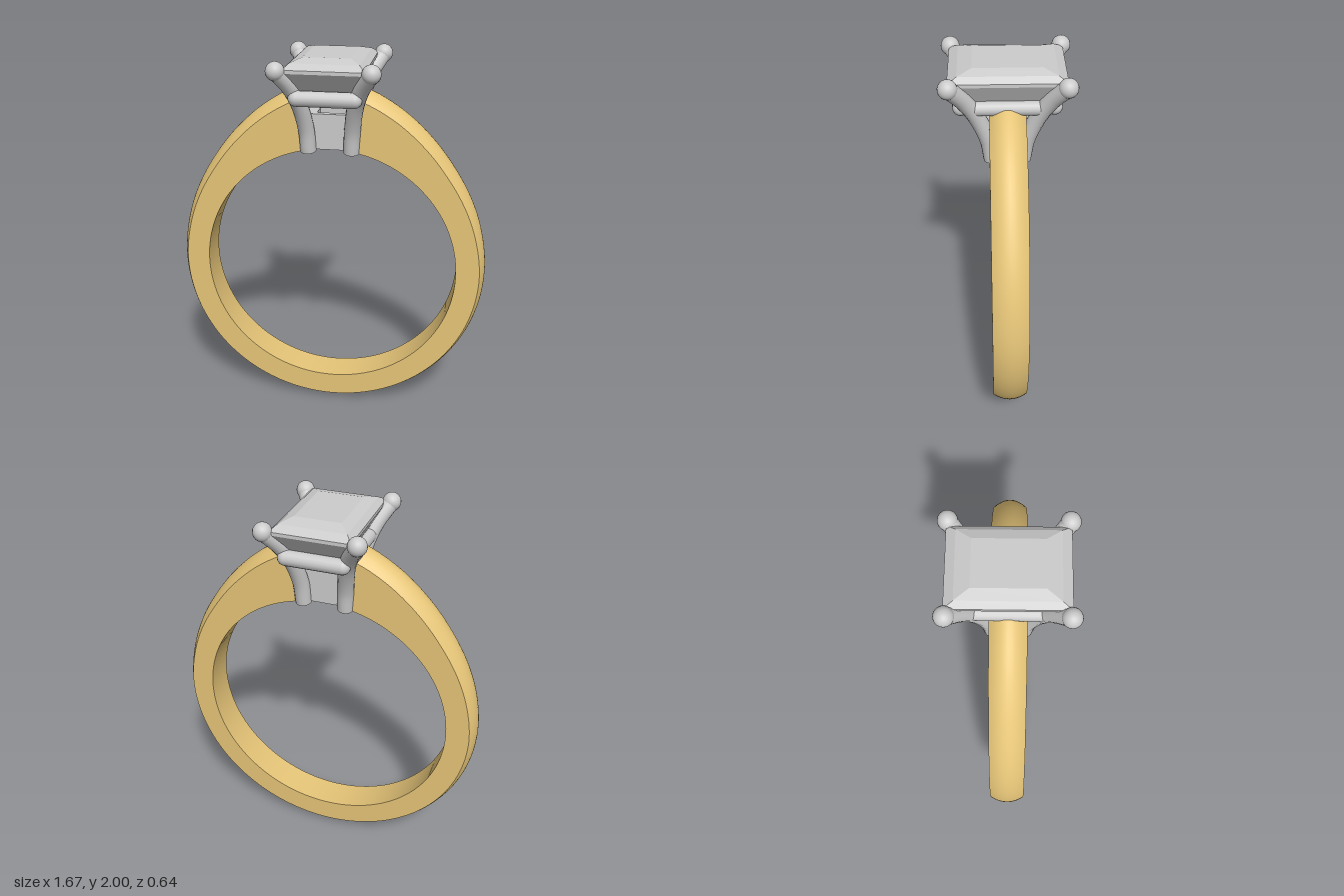
import * as THREE from 'three';
import { toCreasedNormals } from 'three/addons/utils/BufferGeometryUtils.js';

const gold = new THREE.MeshStandardMaterial({ color: 0xe6c578 });
const silver = new THREE.MeshStandardMaterial({ color: 0xcccccc });
const stone = new THREE.MeshStandardMaterial({ color: 0xcccccc, flatShading: true });

function add(parent, name, geometry, material) {
  const mesh = new THREE.Mesh(geometry, material);
  mesh.name = name;
  parent.add(mesh);
  return mesh;
}

// Skin a list of closed rings (each an array of [x, y, z]) and cap both ends
function loft(rings, crease) {
  const n = rings[0].length, last = (rings.length - 1) * n, index = [];
  for (let i = 0; i < rings.length - 1; i++) {
    for (let j = 0; j < n; j++) {
      const k = (j + 1) % n;
      const a = i * n + j, b = a + n, c = i * n + k, d = c + n;
      index.push(a, c, b, b, c, d);
    }
  }
  for (let j = 1; j < n - 1; j++) {
    index.push(0, j + 1, j, last, last + j, last + j + 1);
  }
  const g = new THREE.BufferGeometry();
  g.setAttribute('position', new THREE.Float32BufferAttribute(rings.flat(2), 3));
  g.setIndex(index);
  return toCreasedNormals(g, crease);
}

// Band: round bore, domed outside, shoulders rising to the setting
function shankGeometry() {
  const centreY = 0.84, bore = 0.68, half = 0.088, endX = 0.13;
  const endAngle = (r) => Math.PI - Math.asin(endX / r);
  // crown radius against angle from the bottom, in degrees
  const crown = new THREE.SplineCurve([
    [-30, 0.835], [0, 0.835], [45, 0.834], [90, 0.833], [110, 0.839], [130, 0.863],
    [145, 0.904], [158, 0.953], [166.5, 0.987], [172.6, 1.009], [180, 1.03],
  ].map(([a, r]) => new THREE.Vector2(a, r)));
  const table = crown.getPoints(600);
  const crownAt = (phi) => {
    const a = Math.abs(phi) * 180 / Math.PI;
    const k = Math.max(1, table.findIndex((p) => p.x >= a));
    const p = table[k - 1], q = table[k];
    return p.y + (q.y - p.y) * (a - p.x) / (q.x - p.x);
  };
  const rings = [], steps = 160, dome = 10;
  for (let i = 0; i <= steps; i++) {
    const t = i / steps * 2 - 1;
    const ring = [];
    const put = (radiusAt, max, z) => {
      const phi = t * max, r = radiusAt(phi);
      ring.push([r * Math.sin(phi), centreY - r * Math.cos(phi), z]);
    };
    put(() => bore, endAngle(bore), half);
    for (let j = 0; j <= dome; j++) {
      const s = 1 - 2 * j / dome;
      const radiusAt = (phi) =>
        crownAt(phi) - s * s * (0.028 + 0.03 * Math.max(0, Math.abs(phi) / Math.PI * 2 - 1));
      // settle the end angle so every line stops on the same plane
      let max = endAngle(1);
      for (let k = 0; k < 6; k++) max = endAngle(radiusAt(max));
      put(radiusAt, max, s * half);
    }
    put(() => bore, endAngle(bore), -half);
    rings.push(ring);
  }
  return loft(rings, 0.45);
}

// Rectangular cut stone: culet, pavilion, girdle, crown and table
function stoneGeometry() {
  const levels = [
    [0.004, 0.03, 1.735], [0.13, 0.18, 1.81], [0.2, 0.28, 1.94],
    [0.2, 0.28, 1.957], [0.17, 0.235, 1.982], [0.118, 0.165, 2.0],
  ];
  const corners = [[1, 1], [1, -1], [-1, -1], [-1, 1]];
  return loft(levels.map(([x, z, y]) => corners.map(([sx, sz]) => [sx * x, y, sz * z])), 0.01);
}

// Curved claw with a ball tip
function makeProng(sx, sz) {
  const prong = new THREE.Group();
  prong.name = 'prong';
  const path = new THREE.CatmullRomCurve3([
    [0.112, 1.505, 0.076], [0.118, 1.62, 0.095], [0.14, 1.76, 0.15],
    [0.175, 1.86, 0.208], [0.23, 1.95, 0.275],
  ].map(([x, y, z]) => new THREE.Vector3(sx * x, y, sz * z)));
  add(prong, 'prongStem', new THREE.TubeGeometry(path, 28, 0.042, 16), silver);
  add(prong, 'prongTip', new THREE.SphereGeometry(0.047, 20, 14), silver)
    .position.copy(path.getPoint(1));
  const foot = add(prong, 'prongFoot', new THREE.CircleGeometry(0.042, 16), silver);
  foot.position.copy(path.getPoint(0));
  foot.lookAt(foot.position.clone().sub(path.getTangent(0)));
  return prong;
}

// Open rectangular collar between the claws
function collarGeometry() {
  const rect = (Type, x, z) => new Type(
    [[-x, -z], [x, -z], [x, z], [-x, z]].map(([a, b]) => new THREE.Vector2(a, b)));
  const shape = rect(THREE.Shape, 0.125, 0.078);
  shape.holes.push(rect(THREE.Path, 0.07, 0.045));
  const g = new THREE.ExtrudeGeometry(shape, { depth: 0.185, bevelEnabled: false });
  return g.rotateX(-Math.PI / 2).translate(0, 1.515, 0);
}

export function createModel() {
  const ring = new THREE.Group();
  ring.name = 'ring';
  add(ring, 'shank', shankGeometry(), gold);

  const setting = new THREE.Group();
  setting.name = 'setting';
  ring.add(setting);
  add(setting, 'collar', collarGeometry(), silver);
  add(setting, 'stone', stoneGeometry(), stone);

  for (const s of [-1, 1]) {
    for (const sz of [-1, 1]) setting.add(makeProng(s, sz));

    // Rails tying the claws together
    const longRail = add(setting, 'crossRail', new THREE.CapsuleGeometry(0.039, 0.286, 6, 16), silver);
    longRail.rotation.z = Math.PI / 2;
    longRail.position.set(0, 1.81, s * 0.222);
    const sideRail = add(setting, 'sideRail', new THREE.CapsuleGeometry(0.036, 0.3, 6, 16), silver);
    sideRail.rotation.x = Math.PI / 2;
    sideRail.position.set(s * 0.155, 1.81, 0);
  }
  return ring;
}
